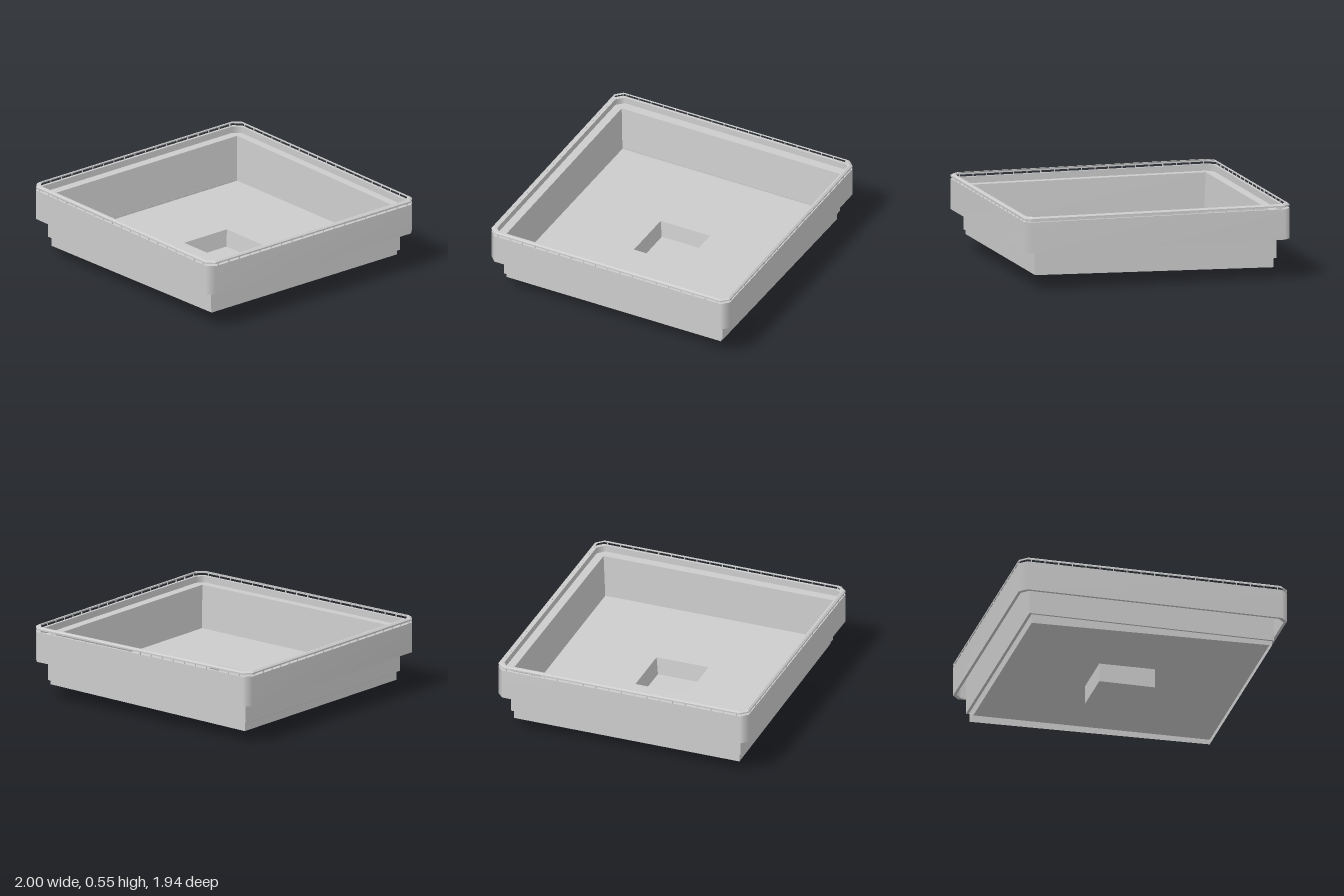
import * as THREE from 'three';

const grey = new THREE.MeshStandardMaterial({ color: 0xcccccc, side: THREE.DoubleSide });
grey.name = 'paleGrey';

// Rectangular ring (half sizes hx, hz), corners cut by c, shifted by dx; y is a height or a function of x
function ring(hx, hz, y, c = 0, dx = 0) {
  const corners = c
    ? [[hx - c, hz], [hx, hz - c], [hx, c - hz], [hx - c, -hz], [c - hx, -hz], [-hx, c - hz], [-hx, hz - c], [c - hx, hz]]
    : [[hx, hz], [hx, -hz], [-hx, -hz], [-hx, hz]];
  return corners.map(([x, z]) => [x + dx, typeof y === 'function' ? y(x) : y, z]);
}

// Skin a list of rings; outward when the profile runs from the bottom centre out and up
function loft(name, rings, smooth = false) {
  const n = rings[0].length;
  const index = [];
  for (let r = 0; r < rings.length - 1; r++) {
    for (let i = 0; i < n; i++) {
      const j = (i + 1) % n;
      const a = r * n + i, b = r * n + j;
      index.push(a, b, b + n, a, b + n, a + n);
    }
  }
  let geometry = new THREE.BufferGeometry();
  geometry.setAttribute('position', new THREE.Float32BufferAttribute(rings.flat(2), 3));
  geometry.setIndex(index);
  if (!smooth) geometry = geometry.toNonIndexed();
  geometry.computeVertexNormals();
  const mesh = new THREE.Mesh(geometry, grey);
  mesh.name = name;
  return mesh;
}

export function createModel() {
  const model = new THREE.Group();
  model.name = 'squareBasin';

  const CUT = 0.05, LEDGE = 0.47, RIM = 0.518, SKIRT = 0.295, SHIFT = 0.005;
  const skirtEdge = (x) => 0.097 + 0.0195 * x;
  const floor = (x) => 0.142 + 0.01 * x;

  // Outer rim: wall hanging open below, thin top and bottom edges, inner ledge
  model.add(loft('rimOuterWall', [ring(1, 0.97, SKIRT, CUT), ring(1, 0.97, RIM, CUT)], true));
  model.add(loft('rimTop', [ring(1, 0.97, RIM, CUT), ring(0.98, 0.95, RIM, CUT)]));
  model.add(loft('rimInnerWall', [ring(0.98, 0.95, RIM, CUT), ring(0.98, 0.95, SKIRT, CUT)], true));
  model.add(loft('rimBottom', [ring(0.98, 0.95, SKIRT, CUT), ring(1, 0.97, SKIRT, CUT)]));
  model.add(loft('ledge', [ring(0.98, 0.95, LEDGE, CUT), ring(0.912, 0.889, LEDGE, 0.001)]));

  // Sleeve around the tub, stepping in to a lower skirt with a slanted open edge
  model.add(loft('sleeveAndSkirt', [
    ring(0.896, 0.873, skirtEdge, 0, SHIFT), ring(0.896, 0.873, 0.148, 0, SHIFT),
    ring(0.912, 0.889, 0.148), ring(0.912, 0.889, LEDGE),
  ]));

  // Tub: tapered walls, thin floor and drain recess
  model.add(loft('tub', [
    ring(0.912, 0.889, LEDGE), ring(0.896, 0.872, floor, 0, SHIFT),
    ring(0.207, 0.201, floor), ring(0.193, 0.185, 0.015), ring(0, 0, 0.015),
  ]));
  model.add(loft('drainBox', [ring(0, 0, 0), ring(0.208, 0.202, 0), ring(0.208, 0.202, floor)]));

  // Thin bent cap rail running above the rim
  const rail = [[0, 0.533], [0, 0.544], [0.012, 0.554], [0.024, 0.554]];
  model.add(loft('capRail', rail.map(([inset, y]) => ring(1 - inset, 0.97 - inset, y, CUT))));

  // Small spacers carrying the rail
  const posts = new THREE.Group();
  posts.name = 'railSpacers';
  const postGeometry = new THREE.BoxGeometry(0.006, 0.018, 0.006);
  const addPost = (x, z) => {
    const post = new THREE.Mesh(postGeometry, grey);
    post.name = 'railSpacer';
    post.position.set(x, 0.525, z);
    posts.add(post);
  };
  for (let i = -9; i <= 9; i++) {
    for (const s of [-1, 1]) {
      addPost(i * 0.102, s * 0.966);
      addPost(s * 0.996, i * 0.099);
    }
  }
  model.add(posts);

  return model;
}
